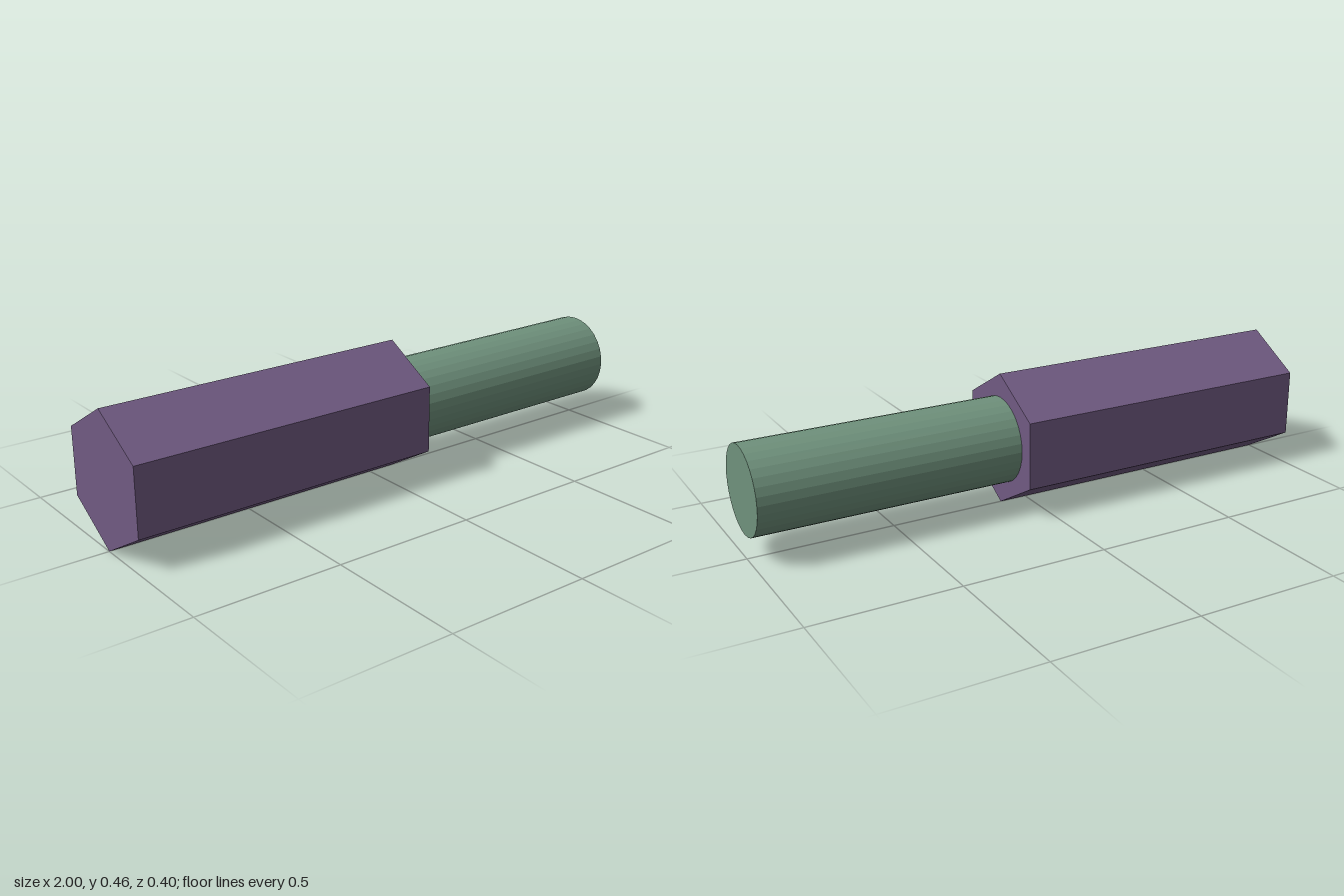
import * as THREE from 'three';

const AXIS_Y = 0.231;

// Prism lying along x, from x0 to x1
function bar(name, radius, sides, x0, x1, color) {
  const geometry = new THREE.CylinderGeometry(radius, radius, x1 - x0, sides, 1, false, Math.PI / 2);
  geometry.rotateZ(-Math.PI / 2);
  const mesh = new THREE.Mesh(geometry, new THREE.MeshStandardMaterial({ color, flatShading: true }));
  mesh.name = name;
  mesh.position.set((x0 + x1) / 2, AXIS_Y, 0);
  return mesh;
}

export function createModel() {
  const model = new THREE.Group();
  model.name = 'hexStandoff';

  // Hexagonal body, corners pointing up and down
  model.add(bar('hexBody', 0.231, 6, -1, 0.097, 0x705a82));

  // Round shaft on the body's left end
  model.add(bar('roundShaft', 0.149, 32, 0.097, 1, 0x6f917c));

  return model;
}
